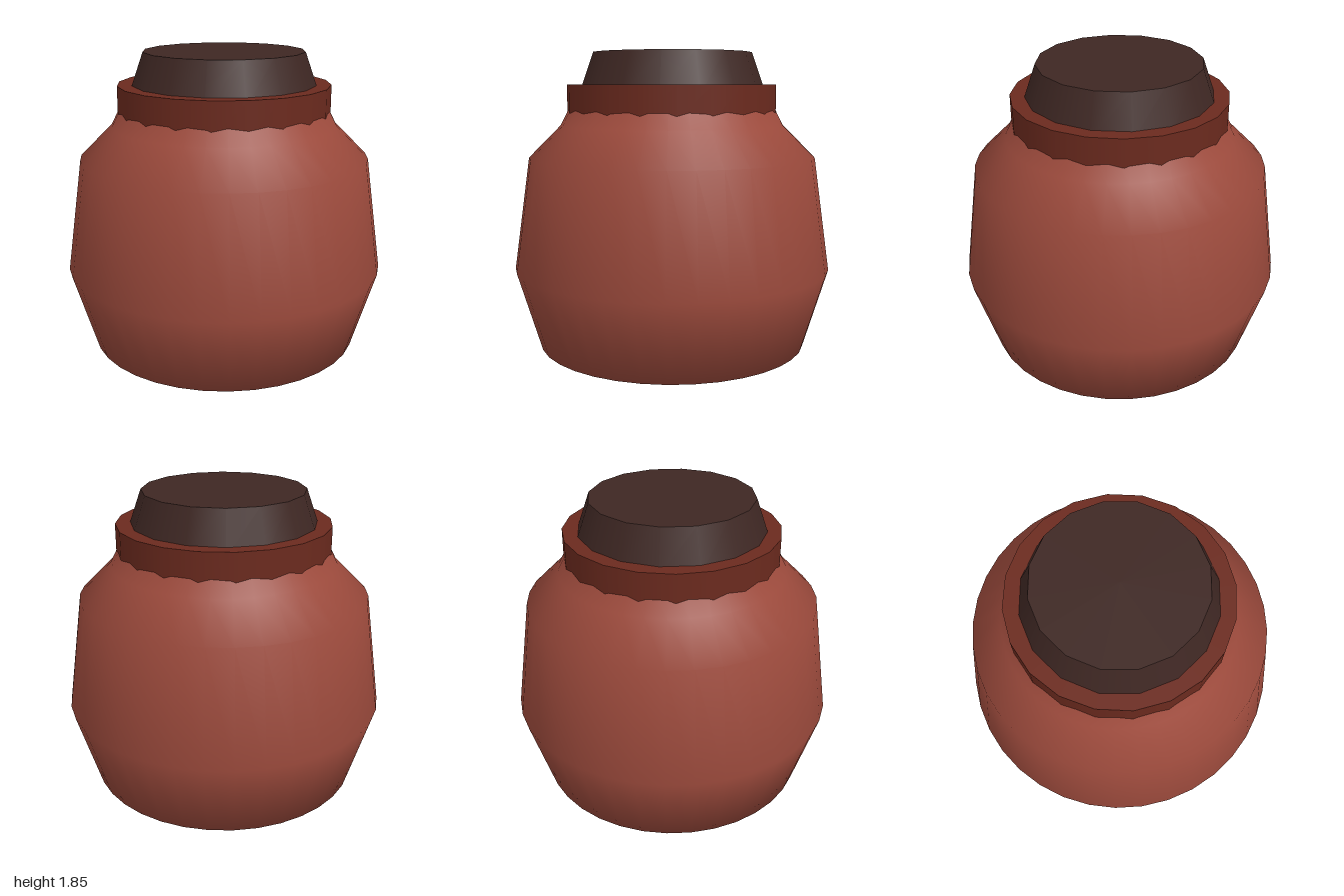
import * as THREE from 'three';

function part(name, geometry, color, y = 0) {
  const material = new THREE.MeshStandardMaterial({ color });
  const mesh = new THREE.Mesh(geometry, material);
  mesh.name = name;
  mesh.position.y = y;
  return mesh;
}

export function createModel() {
  const jar = new THREE.Group();
  jar.name = 'jar';

  // Closed-bottom pot, smooth over its angular profile
  const profile = [
    [0, 0], [0.85, 0], [1, 0.5], [0.9, 1.2], [0.7, 1.4], [0.6, 1.6],
  ].map(([r, y]) => new THREE.Vector2(r, y));
  const body = part('body', new THREE.LatheGeometry(profile, 36), 0x9c4a3c);
  body.material.side = THREE.DoubleSide;
  jar.add(body);

  // Collar whose lower edge sinks into the shoulder
  jar.add(part('collar', new THREE.CylinderGeometry(0.66, 0.66, 0.2, 20), 0x6b2a1e, 1.55));

  // Tapered stopper, its foot hidden in the collar
  jar.add(part('stopper', new THREE.CylinderGeometry(0.5, 0.588, 0.25, 16), 0x3e2723, 1.725));

  return jar;
}
